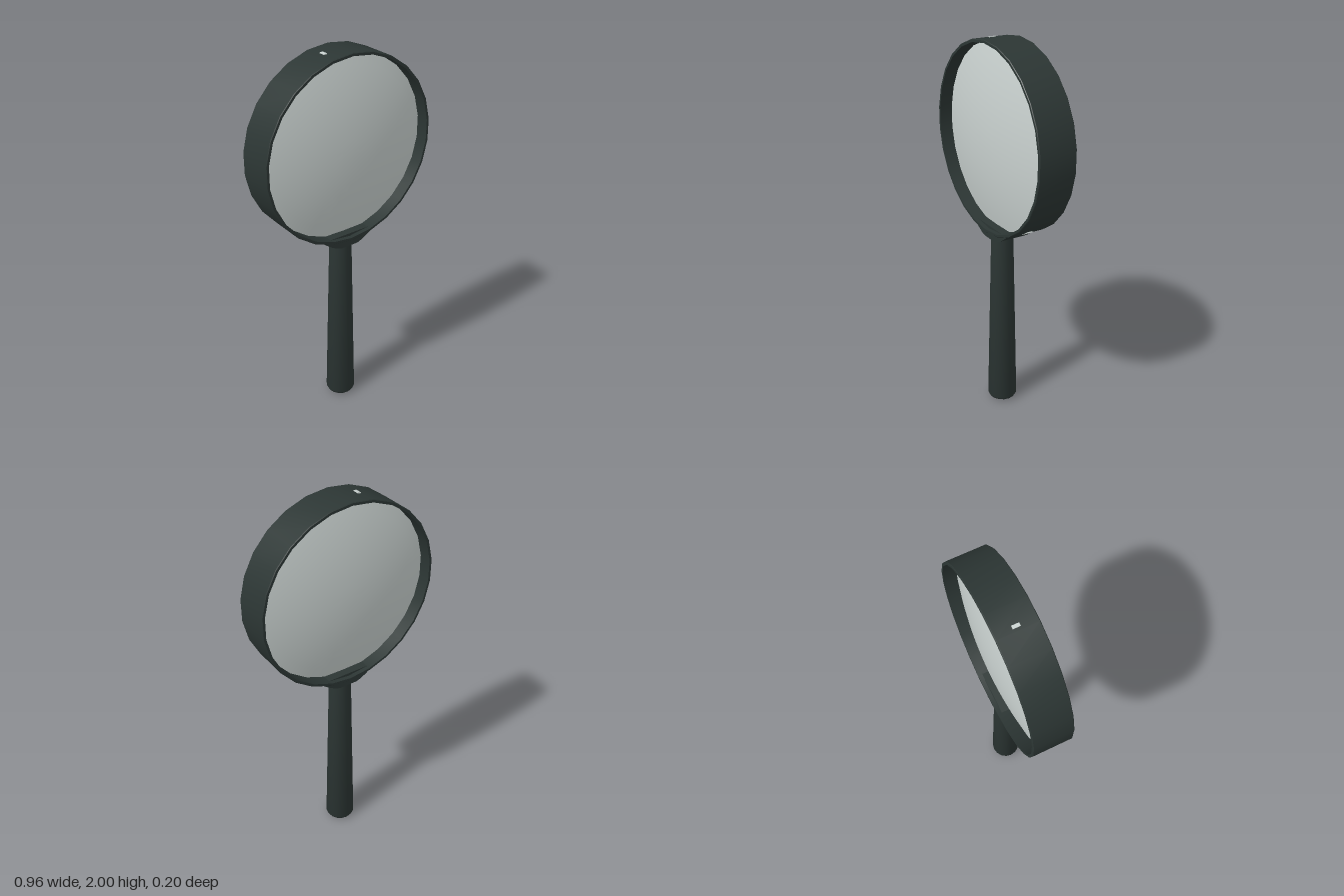
import * as THREE from 'three';
import { toCreasedNormals } from 'three/addons/utils/BufferGeometryUtils.js';

const CENTER_Y = 1.515, R_OUT = 0.485, R_IN = 0.47, SIDES = 26;

export function createModel() {
  const group = new THREE.Group();
  const dark = new THREE.MeshStandardMaterial({ color: 0x2c3634 });
  dark.name = 'dark casing';
  const glass = new THREE.MeshStandardMaterial({ color: 0xc9d1cf });
  glass.name = 'pale glass';

  const add = (name, geometry, material) => {
    const mesh = new THREE.Mesh(geometry, material);
    mesh.name = name;
    group.add(mesh);
    return mesh;
  };
  const lathe = (points, sides) =>
    new THREE.LatheGeometry(points.map(([r, y]) => new THREE.Vector2(r, y)), sides);

  // Ring: closed rectangular section turned round the lens axis
  const ring = lathe(
    [[R_IN, 0.1], [R_IN, -0.1], [R_OUT - 0.003, -0.1], [R_OUT, -0.097],
      [R_OUT, 0.097], [R_OUT - 0.003, 0.1], [R_IN, 0.1]], SIDES);
  ring.rotateX(Math.PI / 2);
  add('lensRing', toCreasedNormals(ring, 0.6), dark).position.y = CENTER_Y;

  // Lens: two shallow domes meeting the ring at a thin edge
  const dome = [];
  const edge = 0.03, bulge = 0.06, steps = 8;
  for (let i = 0; i <= steps; i++) {
    const t = i / steps;
    dome.push([(R_IN + 0.004) * t, edge + bulge * (1 - t * t)]);
  }
  const profile = [...dome.map(([r, y]) => [r, -y]), ...dome.reverse()];
  const lens = lathe(profile, SIDES);
  lens.rotateX(Math.PI / 2);
  add('lens', toCreasedNormals(lens, 0.7), glass).position.y = CENTER_Y;

  // Collar: curved cradle joining the ring and the handle
  const cradle = new THREE.Shape();
  cradle.moveTo(-0.17, 1.06);
  cradle.quadraticCurveTo(-0.1, 1.0, -0.05, 0.988);
  cradle.lineTo(0.05, 0.988);
  cradle.quadraticCurveTo(0.1, 1.0, 0.17, 1.06);
  cradle.closePath();
  const collar = new THREE.ExtrudeGeometry(cradle, { depth: 0.154, bevelEnabled: false, curveSegments: 6 });
  collar.translate(0, 0, -0.077);
  add('collar', toCreasedNormals(collar, 0.6), dark);

  // Handle: tapered grip with a rounded butt
  const handle = lathe(
    [[0, 0], [0.05, 0.003], [0.072, 0.01], [0.08, 0.025], [0.058, 1.0], [0, 1.0]], 16);
  add('handle', toCreasedNormals(handle, 0.9), dark);

  // Small glass tabs showing through the outside of the ring
  const tab = (name, angle, width, depth) => {
    const mesh = add(name, new THREE.BoxGeometry(0.008, width, depth), glass);
    const r = R_OUT - 0.002;
    mesh.position.set(Math.cos(angle) * r, CENTER_Y + Math.sin(angle) * r, 0);
    mesh.rotation.z = angle;
  };
  tab('upperLensTab', Math.PI / 2 + 0.197, 0.016, 0.035);
  tab('lowerLensTab', -1.06, 0.05, 0.032);

  return group;
}
